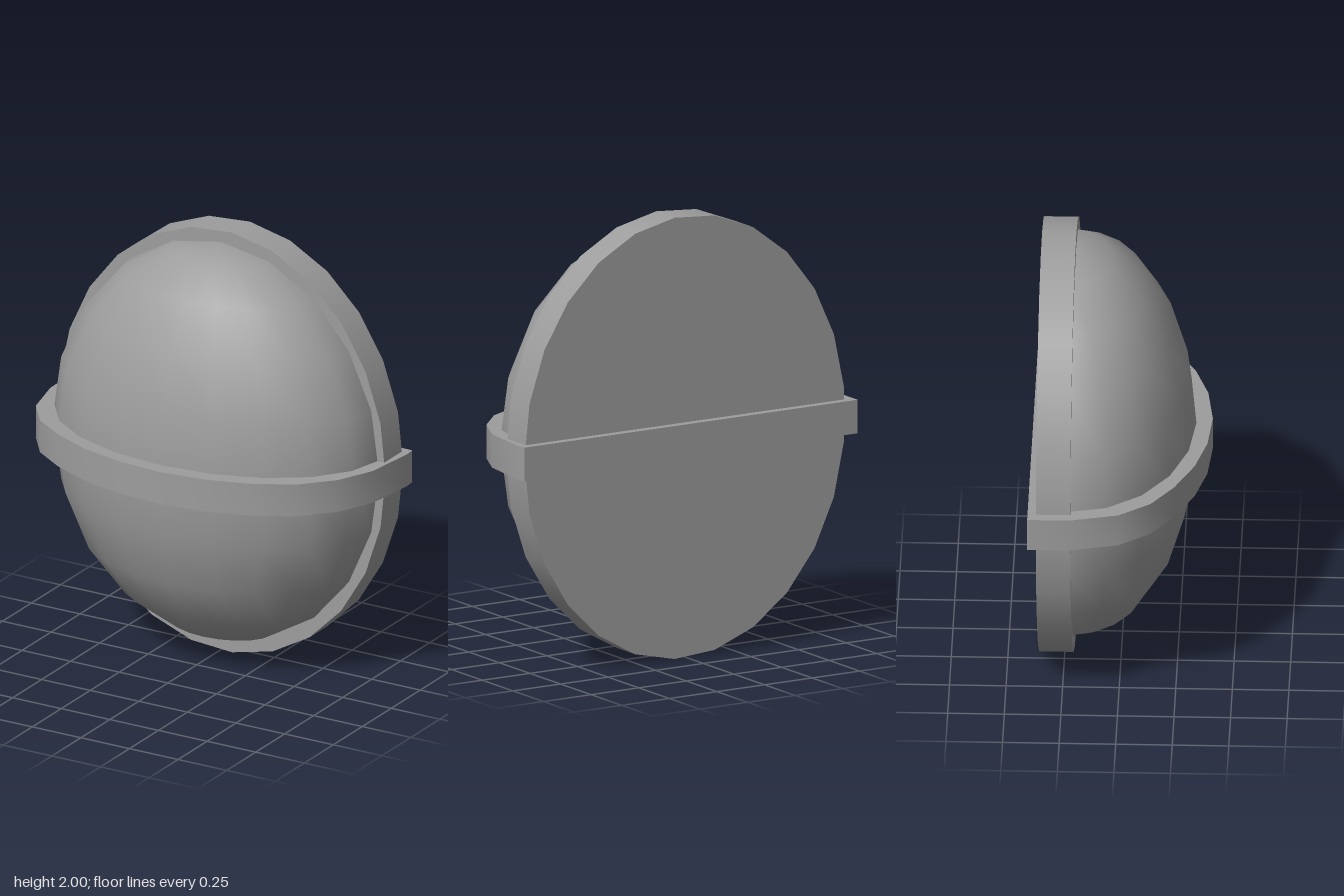
import * as THREE from 'three';
import { toCreasedNormals } from 'three/addons/utils/BufferGeometryUtils.js';

export function createModel() {
  const group = new THREE.Group();
  const material = new THREE.MeshStandardMaterial({ color: 0x9d9d9d });
  const add = (name, geometry) => {
    const mesh = new THREE.Mesh(geometry, material);
    mesh.name = name;
    group.add(mesh);
  };

  // Oval backing plate, 25 sides
  const plate = new THREE.CylinderGeometry(1, 1, 0.152, 25, 1, false, Math.PI / 2);
  plate.rotateX(Math.PI / 2).scale(0.842, 1.002, 1).translate(0.006, 1, -0.282);
  add('backPlate', plate);

  // Half ellipsoid bulging forward from the plate
  const dome = new THREE.SphereGeometry(1, 10, 10, 0, Math.PI);
  dome.scale(0.812, 0.936, 0.546).translate(0.004, 1.009, -0.215);
  add('dome', dome);

  // D-shaped slab forming the band around the middle, as x, z pairs
  const outline = [
    [-0.878, -0.395], [-0.878, -0.21], [-0.825, 0.005], [-0.72, 0.145],
    [-0.57, 0.245], [-0.38, 0.33], [-0.18, 0.38], [0.045, 0.397],
    [0.27, 0.37], [0.46, 0.31], [0.64, 0.215], [0.77, 0.075],
    [0.848, -0.095], [0.877, -0.345], [0.872, -0.395],
  ];
  const shape = new THREE.Shape(outline.map(([x, z]) => new THREE.Vector2(x, -z)));
  const band = new THREE.ExtrudeGeometry(shape, { depth: 0.152, bevelEnabled: false });
  band.rotateX(-Math.PI / 2).translate(0, 0.914, 0);
  add('band', toCreasedNormals(band, Math.PI / 6));

  return group;
}
